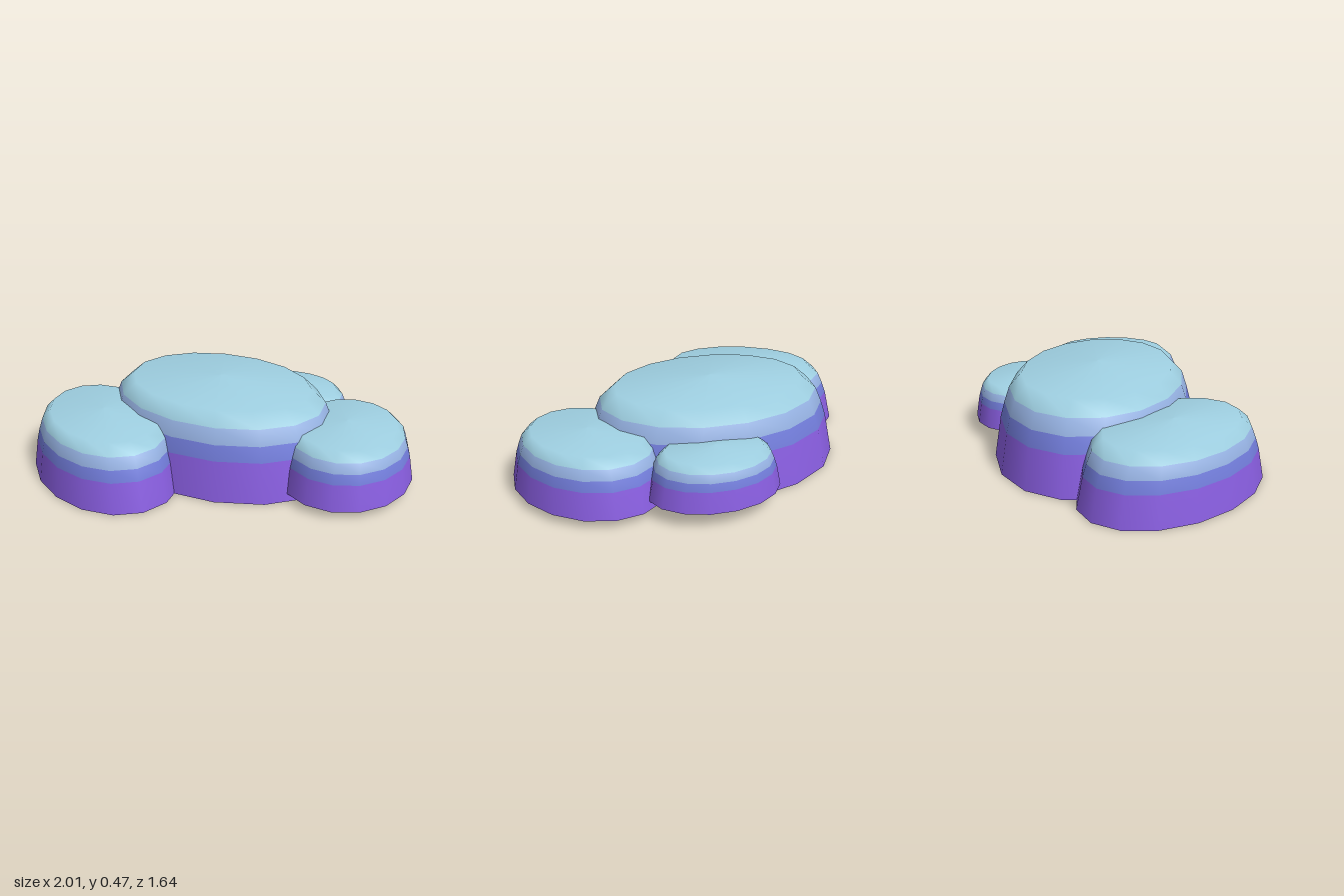
import * as THREE from 'three';

const SIDES = 16;

// Shared mound profile from rim to crown: [radius, height]
const PROFILE = [[1, 0], [0.935, 0.45], [0.895, 0.62], [0.845, 0.79], [0.73, 0.935], [0, 1]];
// Material slot used by each band of the profile
const BANDS = [0, 1, 2, 3, 3];

const flat = (name, color) => {
  const m = new THREE.MeshStandardMaterial({ color, side: THREE.DoubleSide });
  m.name = name;
  return m;
};

// Open-bottomed elliptical mound, coloured in horizontal bands
function mound(name, materials, { x, z, base, height, rx, rz, turn = 0 }) {
  const points = PROFILE.map(([r, h]) => new THREE.Vector2(r, h));
  const geometry = new THREE.LatheGeometry(points, SIDES);
  geometry.scale(rx, height, rz);
  for (let i = 0; i < SIDES; i++) {
    BANDS.forEach((slot, j) => geometry.addGroup((i * BANDS.length + j) * 6, 6, slot));
  }
  const mesh = new THREE.Mesh(geometry, materials);
  mesh.name = name;
  mesh.position.set(x, base, z);
  mesh.rotation.y = -THREE.MathUtils.degToRad(turn);
  return mesh;
}

export function createModel() {
  const group = new THREE.Group();
  group.name = 'moundCluster';
  const materials = [
    flat('purple', 0x885ddf),
    flat('indigo', 0x727ddb),
    flat('periwinkle', 0x94b0e0),
    flat('paleCyan', 0x9fd0e2),
  ];

  group.add(
    mound('mainMound', materials, { x: -0.07, z: -0.08, base: 0, height: 0.47, rx: 0.705, rz: 0.53 }),
    mound('frontMound', materials, { x: -0.5, z: 0.395, base: 0, height: 0.35, rx: 0.545, rz: 0.37, turn: 32 }),
    mound('sideMound', materials, { x: 0.64, z: -0.18, base: 0.04, height: 0.295, rx: 0.444, rz: 0.355, turn: 73 }),
    mound('backMound', materials, { x: 0.13, z: -0.565, base: 0.08, height: 0.23, rx: 0.34, rz: 0.255 }),
  );
  return group;
}
